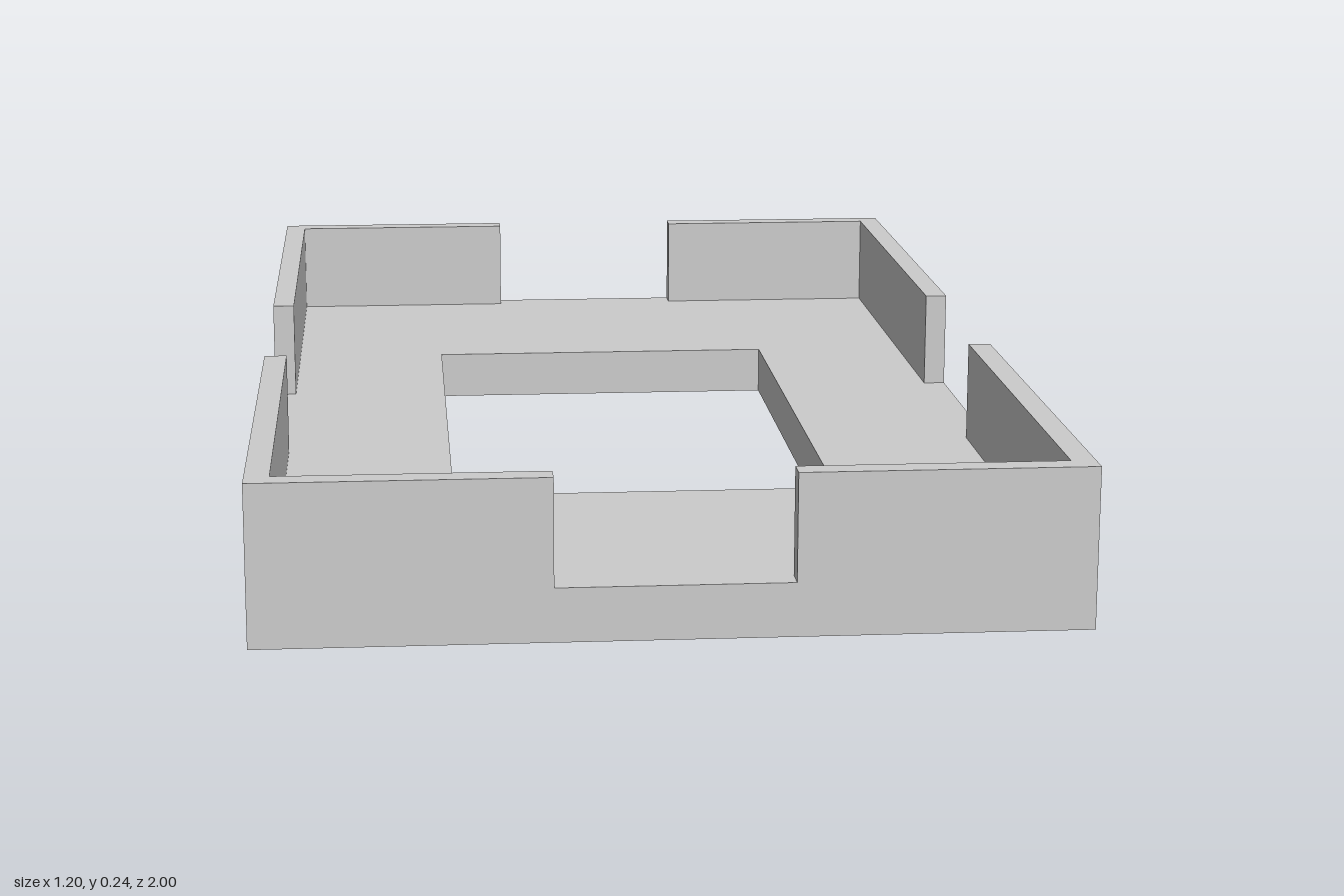
import * as THREE from 'three';

const HALF_W = 0.6, HALF_L = 1, WALL = 0.036;
const FLOOR_H = 0.08, TOTAL_H = 0.24;
const GAP_X = 0.171, GAP_Z = 0.2; // half widths of the wall openings

const material = new THREE.MeshStandardMaterial({ color: 0xcccccc, flatShading: true });

const outline = (points) => points.map(([x, y]) => new THREE.Vector2(x, y));
const rectangle = (w, l) => outline([[-w, -l], [w, -l], [w, l], [-w, l]]);

// Extrudes a plan outline upward from height y
function slab(name, shape, y, height) {
  const geometry = new THREE.ExtrudeGeometry(shape, { depth: height, bevelEnabled: false });
  geometry.rotateX(-Math.PI / 2).translate(0, y, 0);
  const mesh = new THREE.Mesh(geometry, material);
  mesh.name = name;
  return mesh;
}

export function createModel() {
  const group = new THREE.Group();
  group.name = 'openTray';

  // Floor with a rectangular window
  const floor = new THREE.Shape(rectangle(HALF_W, HALF_L));
  floor.holes.push(new THREE.Path(rectangle(0.3, 0.5)));
  group.add(slab('floor', floor, 0, FLOOR_H));

  // L-shaped wall at each corner, leaving an opening in the middle of every side
  for (const sx of [-1, 1]) {
    for (const sz of [-1, 1]) {
      const corner = [
        [GAP_X, HALF_L], [HALF_W, HALF_L], [HALF_W, GAP_Z],
        [HALF_W - WALL, GAP_Z], [HALF_W - WALL, HALF_L - WALL], [GAP_X, HALF_L - WALL],
      ].map(([x, z]) => [sx * x, -sz * z]);
      const name = (sz > 0 ? 'front' : 'back') + (sx > 0 ? 'Left' : 'Right') + 'CornerWall';
      group.add(slab(name, new THREE.Shape(outline(corner)), FLOOR_H, TOTAL_H - FLOOR_H));
    }
  }
  return group;
}
